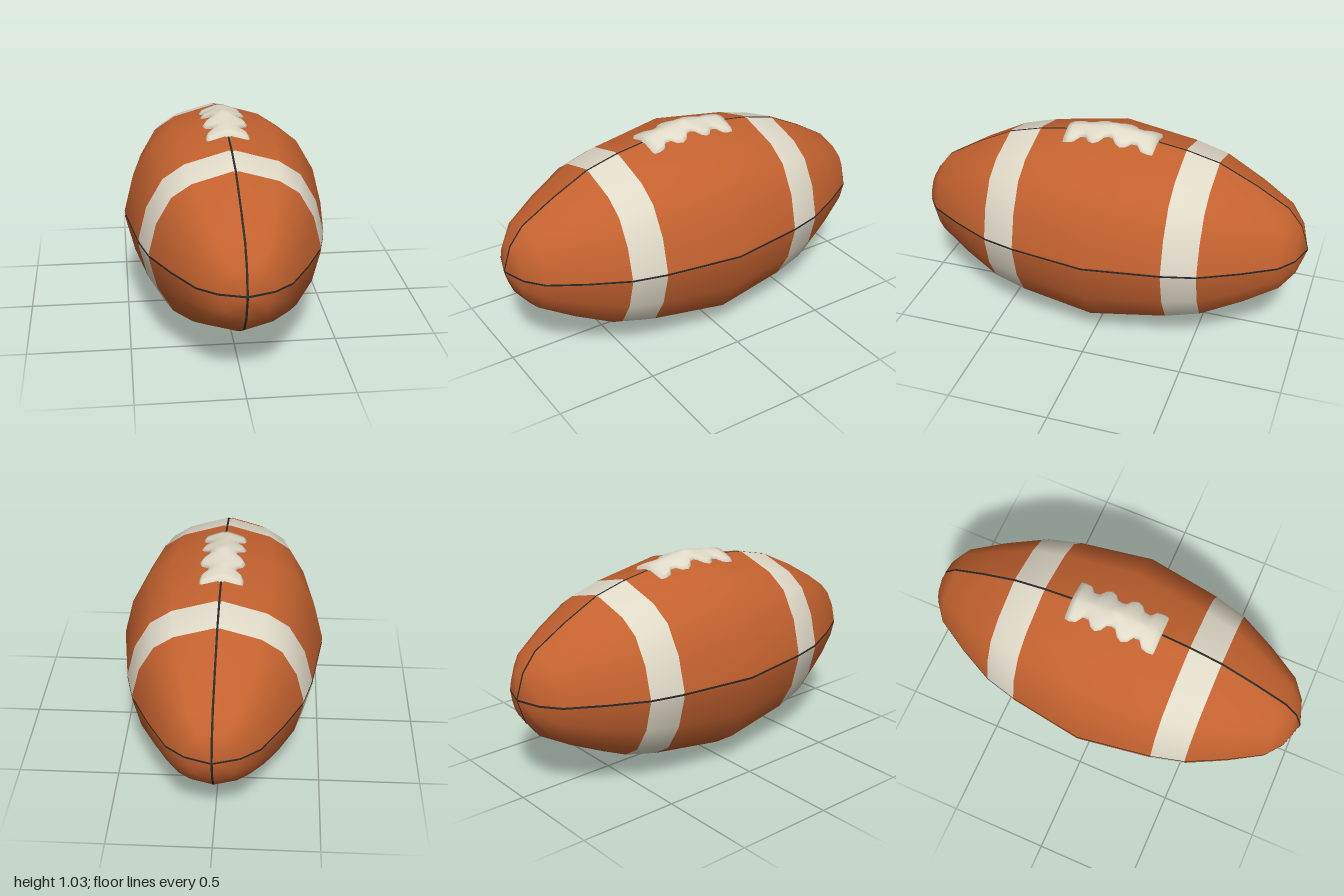
import * as THREE from 'three';
import { mergeVertices } from 'three/addons/utils/BufferGeometryUtils.js';

const CENTRE_Y = 0.505;

// Half of the ball's outline: [z, radius]
const half = [[0, 0.507], [0.375, 0.45], [0.54, 0.407], [0.725, 0.314], [0.89, 0.215], [0.96, 0.125], [1, 0]];
const profile = [...half.slice(1).reverse().map(([z, r]) => [-z, r]), ...half];

// One quarter of the unit cross-section, from side groove to just before the top groove
const quarter = [[0.975, 0], [0.993, 0.03], [0.9, 0.4], [0.725, 0.705], [0.495, 0.86], [0.03, 0.995]];

// Joins rows of points into a smooth skin; rowMaterial picks the material of each band
function loft(rows, rowMaterial = () => 0) {
  const n = rows[0].length;
  const index = [];
  const geometry = new THREE.BufferGeometry();
  for (let i = 0; i < rows.length - 1; i++) {
    geometry.addGroup(index.length, (n - 1) * 6, rowMaterial(i));
    for (let j = 0; j < n - 1; j++) {
      const a = i * n + j, b = a + n;
      index.push(a, a + 1, b + 1, a, b + 1, b);
    }
  }
  geometry.setAttribute('position', new THREE.Float32BufferAttribute(rows.flat(2), 3));
  geometry.setIndex(index);
  const merged = mergeVertices(geometry, 1e-5);
  merged.computeVertexNormals();
  return merged;
}

// Full cross-section: the quarter, then turned and mirrored round the ball
function crossSection() {
  const side = quarter.map(([x, y]) => [x, y]);
  const top = [0, 0.975];
  const right = [...side, top];
  const left = side.slice().reverse().map(([x, y]) => [-x, y]);
  const upper = [...right, ...left];
  const lower = upper.slice(1, -1).reverse().map(([x, y]) => [x, -y]);
  return [...upper, ...lower, upper[0]];
}

function radiusAt(z) {
  const a = Math.abs(z);
  const i = half.findIndex(([end]) => end > a);
  const [z0, r0] = half[i - 1], [z1, r1] = half[i];
  return THREE.MathUtils.lerp(r0, r1, (a - z0) / (z1 - z0));
}

// Lacing: a scalloped pad that hugs the top ridge
function lacesGeometry() {
  const edge = [[0.235, 0.09], [0.225, 0.102], [0.2, 0.105], [0.17, 0.1], [0.145, 0.068], [0.115, 0.07],
    [0.095, 0.098], [0.068, 0.11], [0.042, 0.098], [0.022, 0.07], [0, 0.065]];
  const outline = [...edge.map(([z, w]) => [-z, w]), ...edge.slice(0, -1).reverse()];
  const across = [[1, -0.012], [1, 0.008], [0.88, 0.02], [0.5, 0.024], [0.15, 0.026],
    [-0.15, 0.026], [-0.5, 0.024], [-0.88, 0.02], [-1, 0.008], [-1, -0.012]];
  const last = outline.length - 1;
  return loft(outline.map(([z, w], i) => across.map(([f, h]) => {
    const x = f * w;
    const surface = radiusAt(z) * 0.995 - Math.abs(x) * 0.29;
    const lift = i === 0 || i === last ? -0.012 : h;
    return [x, surface + lift, z];
  })));
}

export function createModel() {
  const leather = new THREE.MeshStandardMaterial({ color: 0xc4622f });
  leather.name = 'orange leather';
  const white = new THREE.MeshStandardMaterial({ color: 0xe0dac8 });
  white.name = 'off white';
  const dark = new THREE.MeshStandardMaterial({ color: 0x2a2a2a, side: THREE.DoubleSide });
  dark.name = 'dark seam';

  const model = new THREE.Group();
  model.name = 'ball';
  model.position.y = 0;
  const add = (name, geometry, material) => {
    const mesh = new THREE.Mesh(geometry, material);
    mesh.name = name;
    mesh.position.y = CENTRE_Y;
    model.add(mesh);
    return mesh;
  };

  // Body with a white band towards each end
  const section = crossSection();
  const rows = profile.map(([z, r]) => section.map(([x, y]) => [x * r, y * r, z]));
  const isStripe = (i) => {
    const middle = Math.abs(profile[i][0] + profile[i + 1][0]) / 2;
    return middle > 0.375 && middle < 0.54 ? 1 : 0;
  };
  add('body', loft(rows, isStripe), [leather, white]);

  // Thin seams lying in the four grooves
  const w = 0.005;
  const ribbon = loft(profile.map(([z, r]) => {
    const x = r * 0.988 + 0.001;
    return [[x, -w, z * 1.001], [x, w, z * 1.001]];
  }));
  for (let i = 0; i < 4; i++) add('seam', ribbon, dark).rotation.z = i * Math.PI / 2;

  add('laces', lacesGeometry(), white);
  return model;
}
